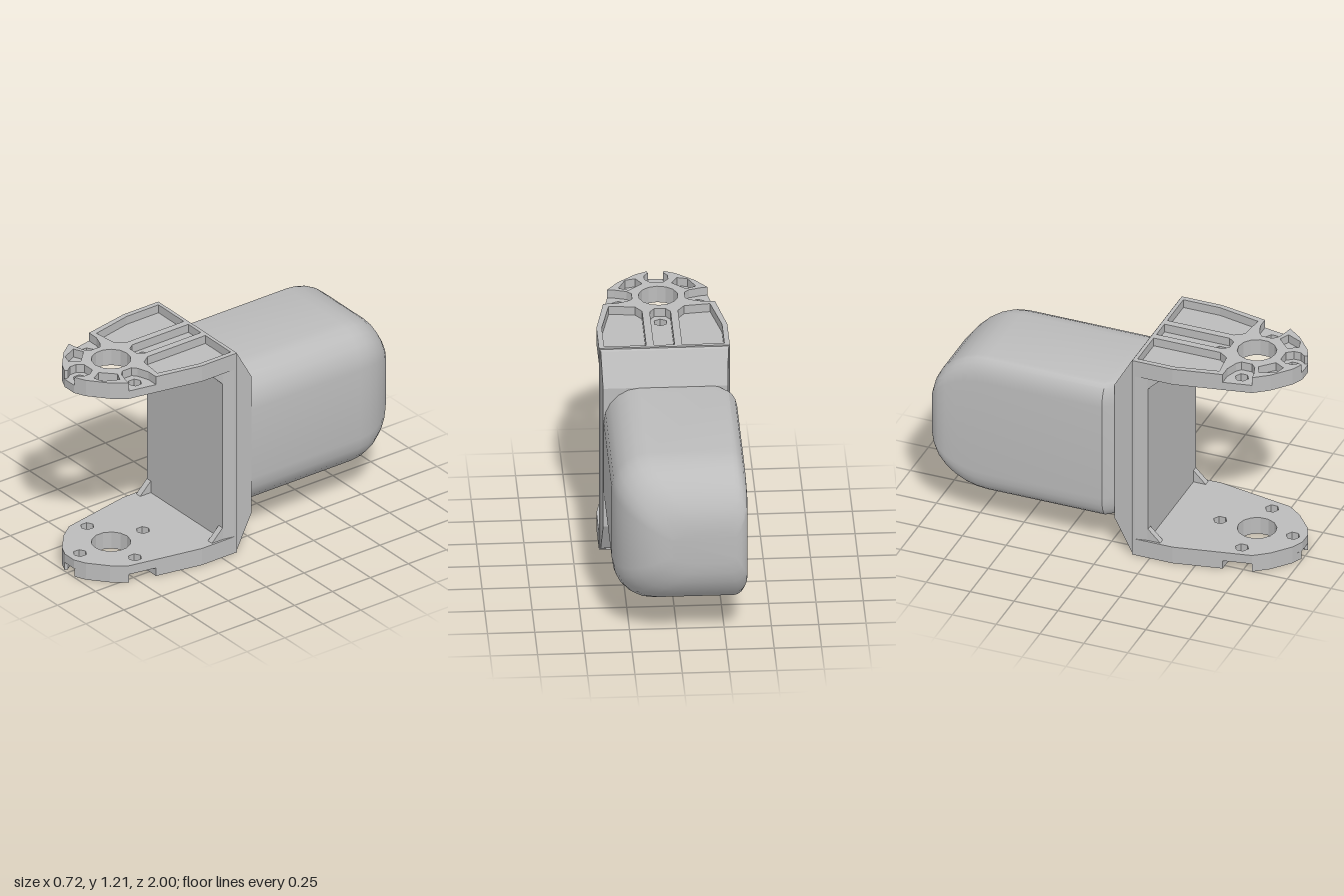
import * as THREE from 'three';
import { toCreasedNormals } from 'three/addons/utils/BufferGeometryUtils.js';

const CX = 0.013; // centre line of the bracket
const H = 1.205; // overall height

// Maps half-outline points [offset from centre line, z] to one side
const side = (pts, s) => pts.map(([x, z]) => [CX + s * x, z]);
const both = (pts) => [...side(pts, -1), ...side(pts, 1).reverse()];
const toVec = (pts) => pts.map(([x, z]) => new THREE.Vector2(x, -z));

function ngon(x, z, r, n) {
  return Array.from({ length: n }, (_, i) => {
    const a = ((i + 0.5) / n) * Math.PI * 2;
    return [x + r * Math.cos(a), z + r * Math.sin(a)];
  });
}

// Flat plate drawn in x/z and raised from y0 to y1
function plate(outline, holes, y0, y1) {
  const shape = new THREE.Shape(toVec(outline));
  holes.forEach((h) => shape.holes.push(new THREE.Path(toVec(h))));
  const g = new THREE.ExtrudeGeometry(shape, { depth: y1 - y0, bevelEnabled: false });
  return g.rotateX(-Math.PI / 2).translate(0, y0, 0);
}

// Skin over rings of points running towards -z, closed at the last ring
function loft(rings, crease) {
  const n = rings[0].length, pos = rings.flat(2), idx = [];
  for (let i = 0; i < rings.length - 1; i++) {
    for (let j = 0; j < n; j++) {
      const a = i * n + j, b = i * n + ((j + 1) % n);
      idx.push(a, a + n, b, b, a + n, b + n);
    }
  }
  const last = (rings.length - 1) * n;
  for (let j = 1; j < n - 1; j++) idx.push(last, last + j + 1, last + j);
  const g = new THREE.BufferGeometry();
  g.setAttribute('position', new THREE.Float32BufferAttribute(pos, 3));
  g.setIndex(idx);
  return toCreasedNormals(g, crease);
}

// Cross-section with a large rounding on +x and a tight one on -x
function bodySection(z, x0, x1, half) {
  const cy = 0.607, k = half / 0.412, pts = [], steps = 5;
  const corners = [[1, 1, 0], [-1, 1, 1], [-1, -1, 2], [1, -1, 3]];
  for (const [sx, sy, q] of corners) {
    const rx = sx > 0 ? 0.19 : 0.07, ry = (sx > 0 ? 0.205 : 0.13) * k;
    const ox = sx > 0 ? x1 - rx : x0 + rx, oy = cy + sy * (half - ry);
    for (let i = 0; i <= steps; i++) {
      const a = (q + i / steps) * Math.PI / 2;
      pts.push([ox + rx * Math.cos(a), oy + ry * Math.sin(a), z]);
    }
  }
  return pts;
}

export function createModel() {
  const model = new THREE.Group();
  const grey = new THREE.MeshStandardMaterial({ color: 0xbcbcbc });
  grey.name = 'grey plastic';
  const add = (name, geometry, parent = model) => {
    const mesh = new THREE.Mesh(geometry, grey);
    mesh.name = name;
    parent.add(mesh);
    return mesh;
  };

  // Rounded housing at the back
  const rings = [bodySection(0.06, -0.3, 0.34, 0.412), bodySection(0.035, -0.325, 0.34, 0.412),
    bodySection(-0.01, -0.365, 0.34, 0.412)];
  const steps = 8;
  for (let i = 0; i <= steps; i++) {
    const a = (i / steps) * Math.PI / 2;
    const z = -0.68 - 0.32 * Math.sin(a);
    const t = Math.max(0, (-z - 0.92) / 0.08);
    const x0 = -0.365 + 0.06 * (1 - Math.sqrt(Math.max(0, 1 - t * t)));
    rings.push(bodySection(z, x0, 0.04 + 0.3 * Math.cos(a), 0.412 - 0.32 * (1 - Math.cos(a))));
  }
  add('housing', loft(rings, 0.6));

  // Tapered collar between housing and bracket
  const rect = (z, half, y0, y1) => [[CX + half, y0, z], [CX + half, y1, z], [CX - half, y1, z], [CX - half, y0, z]];
  add('collar', loft([
    rect(0.16, 0.346, 0, H), rect(0.14, 0.337, 0.015, H - 0.015), rect(0.042, 0.33, 0.195, 1.02),
  ], 0.2));

  // Upright web with bevelled front edges
  add('web', plate(both([[0.346, 0.15], [0.346, 0.165], [0.333, 0.235]]), [], 0.06, H - 0.06));

  // Fork arms: drilled floor plate plus a raised lattice of ribs
  const edge = [[0.346, 0.15], [0.346, 0.38], [0.295, 0.645], [0.265, 0.8], [0.205, 0.88], [0.105, 0.965], [0.04, 0.995]];
  const ribEdge = [[0.346, 0.15], [0.346, 0.38], [0.295, 0.645],
    [0.23, 0.645], [0.165, 0.668], [0.14, 0.69], [0.14, 0.75], [0.165, 0.775], [0.23, 0.795], // side notch
    [0.265, 0.8], [0.205, 0.88], [0.105, 0.965], [0.045, 0.993],
    [0.04, 0.975], [0.062, 0.945], [0.062, 0.905], [0.035, 0.87]]; // tip notch
  const bigPocket = [[0.318, 0.17], [0.318, 0.38], [0.268, 0.615], [0.13, 0.6], [0.095, 0.55], [0.095, 0.17]];
  const smallPocket = [[0.205, 0.815], [0.15, 0.79], [0.078, 0.86], [0.11, 0.915], [0.165, 0.9]];
  const channel = [[0.055, 0.17], [0.055, 0.54], [0.03, 0.575]];
  const bore = ngon(CX, 0.72, 0.105, 14);
  const boltHoles = [[0, 0.51], [0, 0.925], [-0.21, 0.72], [0.21, 0.72]].map(([x, z]) => ngon(CX + x, z, 0.037, 6));
  const ribHoles = [bore, both(channel)];
  for (const s of [-1, 1]) ribHoles.push(side(bigPocket, s), side(smallPocket, s));

  for (const top of [true, false]) {
    const arm = new THREE.Group();
    arm.name = top ? 'upperArm' : 'lowerArm';
    model.add(arm);
    const floor = top ? [1.11, 1.157] : [0.048, 0.1];
    const ribs = top ? [1.157, H] : [0, 0.048];
    add('armFloor', plate(both(edge), [bore, ...boltHoles], ...floor), arm);
    add('armRibs', plate(both(ribEdge), ribHoles, ...ribs), arm);

    // Corner gussets where the arm meets the web
    for (const s of [-1, 1]) {
      const y = floor[top ? 0 : 1], d = top ? -0.07 : 0.07;
      const tri = new THREE.Shape([[-0.22, y], [-0.305, y], [-0.235, y + d], [-0.22, y + d]]
        .map((p) => new THREE.Vector2(...p)));
      const g = new THREE.ExtrudeGeometry(tri, { depth: 0.035, bevelEnabled: false });
      g.rotateY(Math.PI / 2).translate(CX + s * 0.316 - 0.0175, 0, 0);
      add('gusset', g, arm);
    }
  }
  return model;
}
